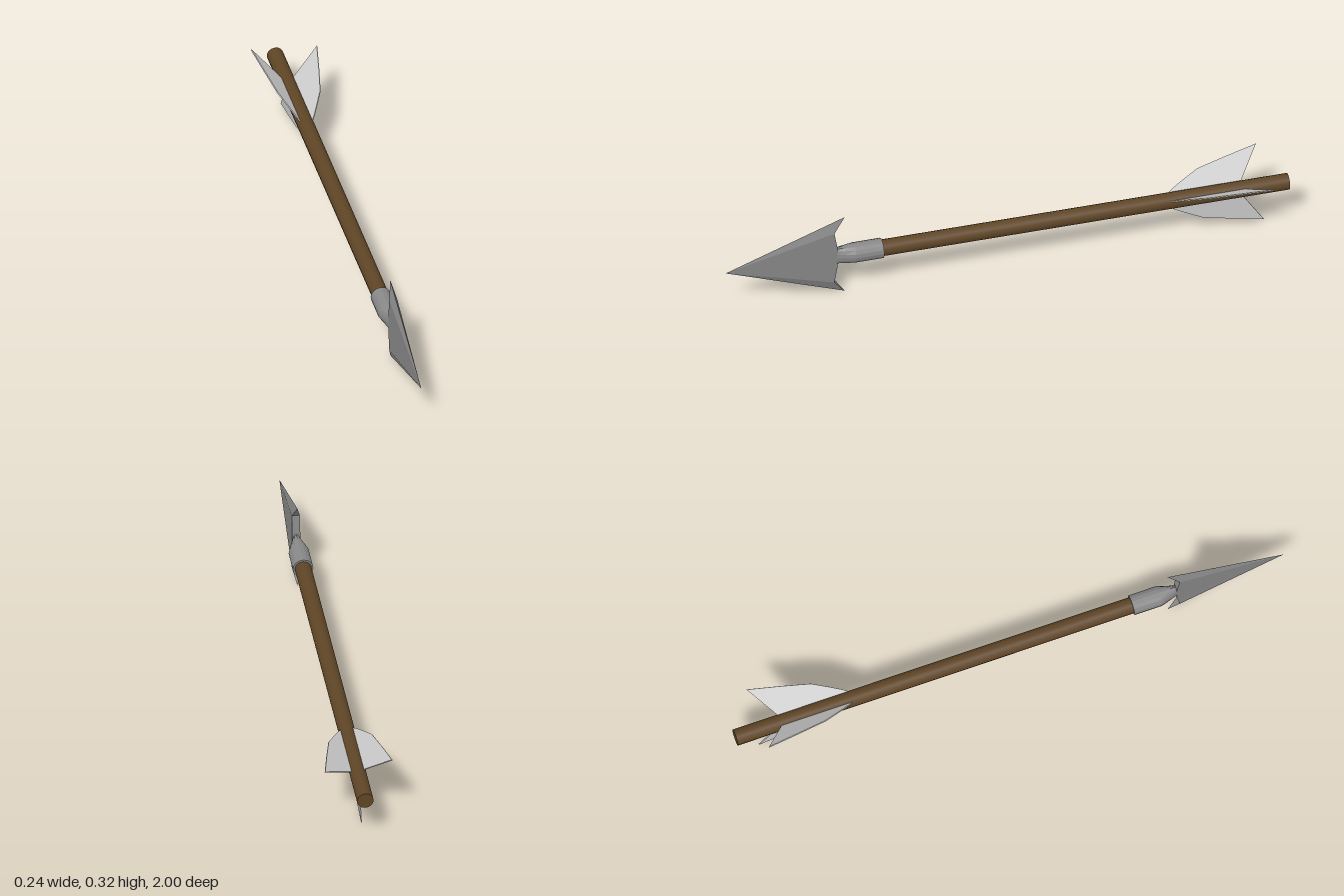
import * as THREE from 'three';

const mat = (color, extra = {}) => new THREE.MeshStandardMaterial({ color, ...extra });

function part(name, geometry, material) {
  const mesh = new THREE.Mesh(geometry, material);
  mesh.name = name;
  return mesh;
}

// Barbed wedge blade: one quarter described, mirrored to all four
function bladeGeometry() {
  const t = 0.014;
  const tip = [0, 0, 1], barb = [0, 0.16, 0.577];
  const notch = [t, 0.106, 0.617], root = [t, 0.04, 0.606], mid = [t, 0, 0.606];
  const flat = ([, y, z]) => [0, y, z];
  const quarter = [
    [tip, notch, barb], [tip, root, notch], [tip, mid, root],
    [barb, notch, flat(notch)], [notch, root, flat(root)], [notch, flat(root), flat(notch)],
    [root, mid, flat(mid)], [root, flat(mid), flat(root)],
  ];
  const positions = [];
  for (const sx of [1, -1]) for (const sy of [1, -1]) for (const tri of quarter) {
    const corners = sx * sy > 0 ? tri : [...tri].reverse();
    for (const [x, y, z] of corners) positions.push(x * sx, y * sy, z);
  }
  const g = new THREE.BufferGeometry();
  g.setAttribute('position', new THREE.Float32BufferAttribute(positions, 3));
  g.computeVertexNormals();
  return g;
}

// Round sleeve whose front end is pinched sideways into the blade
function socketGeometry() {
  const profile = [[0.028, 0.445], [0.0355, 0.445], [0.0355, 0.545], [0.035, 0.58], [0.033, 0.612]];
  const g = new THREE.LatheGeometry(profile.map(([r, z]) => new THREE.Vector2(r, z)), 16);
  g.rotateX(Math.PI / 2);
  const p = g.attributes.position;
  for (let i = 0; i < p.count; i++) {
    const pinch = THREE.MathUtils.clamp((p.getZ(i) - 0.545) / 0.067, 0, 1);
    p.setX(i, p.getX(i) * (1 - 0.6 * pinch));
  }
  const flat = g.toNonIndexed();
  flat.computeVertexNormals();
  return flat;
}

// Thin feather: shape x runs to the rear, shape y runs outward
function featherGeometry() {
  const outline = [[0.57, 0.022], [0.595, 0.04], [0.63, 0.06], [0.695, 0.095],
    [0.80, 0.121], [0.914, 0.147], [0.837, 0.027], [0.82, 0.015], [0.58, 0.015]];
  const g = new THREE.ExtrudeGeometry(
    new THREE.Shape(outline.map(([x, y]) => new THREE.Vector2(x, y))),
    { depth: 0.004, bevelEnabled: false });
  g.translate(0, 0, -0.002);
  g.rotateY(Math.PI / 2);
  return g;
}

export function createModel() {
  const arrow = new THREE.Group();
  arrow.name = 'arrow';
  const wood = mat(0x5f4526), metal = mat(0x888888), feather = mat(0xcccccc, { side: THREE.DoubleSide });

  // Shaft
  const shaft = new THREE.CylinderGeometry(0.029, 0.029, 1.46, 16);
  shaft.rotateX(Math.PI / 2);
  shaft.translate(0, 0, -0.27);
  arrow.add(part('shaft', shaft, wood));

  // Head
  const head = new THREE.Group();
  head.name = 'arrowhead';
  head.add(part('blade', bladeGeometry(), metal), part('socket', socketGeometry(), metal));
  arrow.add(head);

  // Three feathers, angles measured from +x towards +y
  const vane = featherGeometry();
  [['leftFeather', 30], ['rightFeather', 136.5], ['lowerFeather', 270]].forEach(([name, degrees]) => {
    const mesh = part(name, vane, feather);
    mesh.rotation.z = THREE.MathUtils.degToRad(degrees - 90);
    arrow.add(mesh);
  });

  arrow.position.set(-0.011, 0.162, 0);
  const model = new THREE.Group();
  model.add(arrow);
  return model;
}
